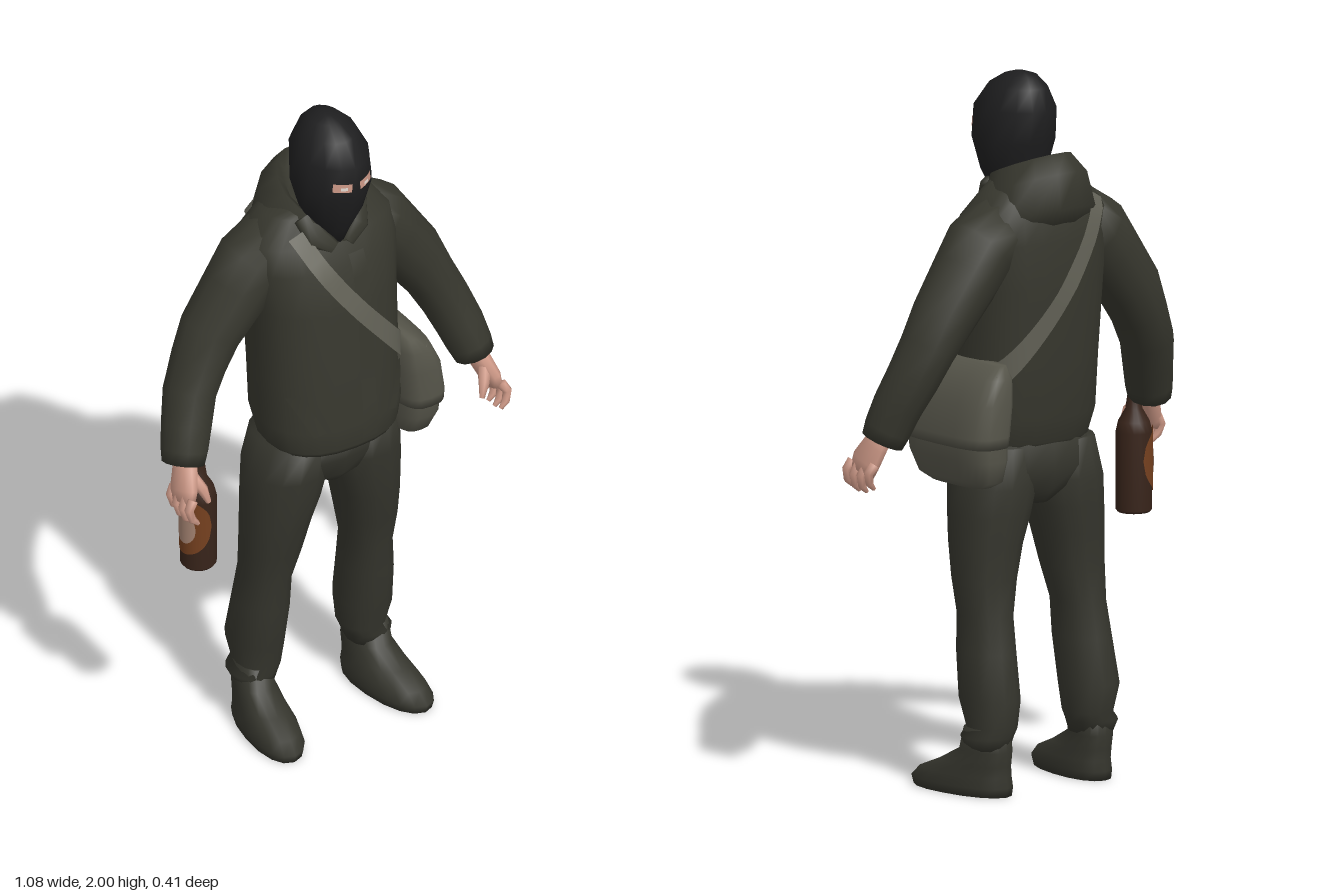
import * as THREE from 'three';

const DS = THREE.DoubleSide;
const mat = (name, color, side = THREE.FrontSide) => {
  const m = new THREE.MeshStandardMaterial({ color, side });
  m.name = name;
  return m;
};
const V = (x, y, z) => new THREE.Vector3(x, y, z);

// Surface through rings of { c, a, b, n, tilt }; a and b are the half axes, a x b points backwards
function loft(rings, seg = 16) {
  const pos = [], idx = [];
  const pw = (v, n) => Math.sign(v) * Math.abs(v) ** (2 / n);
  for (const r of rings) {
    for (let j = 0; j < seg; j++) {
      const t = (j / seg) * Math.PI * 2;
      const p = r.c.clone().addScaledVector(r.a, pw(Math.cos(t), r.n)).addScaledVector(r.b, pw(Math.sin(t), r.n));
      if (r.tilt) p.y -= r.tilt * (p.z - r.c.z);
      if (r.splay) p.x += r.splay * (p.z - r.c.z);
      pos.push(p.x, p.y, p.z);
    }
  }
  const last = (rings.length - 1) * seg;
  for (let i = 0; i < rings.length - 1; i++) {
    for (let j = 0; j < seg; j++) {
      const a = i * seg + j, b = i * seg + (j + 1) % seg;
      idx.push(a, a + seg, b, b, a + seg, b + seg);
    }
  }
  // end caps
  const n = pos.length / 3;
  pos.push(...rings[0].c.toArray(), ...rings[rings.length - 1].c.toArray());
  for (let j = 0; j < seg; j++) {
    const k = (j + 1) % seg;
    idx.push(n, j, k, n + 1, last + k, last + j);
  }
  return build(pos, idx);
}

function build(pos, idx) {
  const g = new THREE.BufferGeometry();
  g.setAttribute('position', new THREE.Float32BufferAttribute(pos, 3));
  g.setIndex(idx);
  g.computeVertexNormals();
  return g;
}

// Level rings listed upwards: [x, y, z, rx, rz, tilt]
const stack = (rows, n = 2, s = 1, seg = 16, splay = 0) => loft(rows.map(([x, y, z, rx, rz, tilt]) =>
  ({ c: V(x * s, y, z), a: V(rx, 0, 0), b: V(0, 0, rz), n, tilt, splay: splay * s })), seg);

// Rings square to a path: [x, y, z, ra, rb]
function limb(rows, s = 1, seg = 12) {
  const pts = rows.map(r => V(r[0] * s, r[1], r[2]));
  return loft(rows.map((r, i) => {
    const t = pts[Math.min(i + 1, pts.length - 1)].clone().sub(pts[Math.max(i - 1, 0)]).normalize();
    const b = V(0, 0, 1).addScaledVector(t, -t.z).normalize();
    const a = t.clone().cross(b);
    return { c: pts[i], a: a.multiplyScalar(r[3]), b: b.multiplyScalar(r[4]), n: 2 };
  }), seg);
}

// Depth of a stack's surface at x, y on its front (1) or back (-1)
function depthAt(rows, n, x, y, side) {
  let i = 0;
  while (i < rows.length - 2 && rows[i + 1][1] < y) i++;
  const f = THREE.MathUtils.clamp((y - rows[i][1]) / (rows[i + 1][1] - rows[i][1]), 0, 1);
  const [, , cz, rx, rz] = rows[i].map((v, k) => THREE.MathUtils.lerp(v, rows[i + 1][k], f));
  return cz + side * rz * Math.max(0, 1 - Math.min(1, Math.abs(x) / rx) ** n) ** (1 / n);
}

// Thin band laid on a stack along x, y points
function band(rows, n, pts, width, side, lift, steps = 16) {
  const path = new THREE.CatmullRomCurve3(pts.map(p => V(p[0], p[1], 0)));
  const pos = [], idx = [];
  for (let i = 0; i <= steps; i++) {
    const p = path.getPoint(i / steps), t = path.getTangent(i / steps);
    for (const k of [-1, 0, 1]) {
      const x = p.x - t.y * k * width / 2, y = p.y + t.x * k * width / 2;
      pos.push(x, y, depthAt(rows, n, x, y, side) + side * lift);
    }
    if (i < steps) for (const a of [i * 3, i * 3 + 1]) {
      idx.push(...(side > 0 ? [a, a + 3, a + 1, a + 1, a + 3, a + 4] : [a, a + 1, a + 3, a + 1, a + 4, a + 3]));
    }
  }
  return build(pos, idx);
}

// Oval sticker wrapped on an upright cylinder, facing -x
function wrapOval(r, y, h, spread, turn) {
  const pos = [], idx = [], N = 24;
  for (let i = 0; i <= N; i++) {
    const u = i / N * 2 - 1, t = u * spread + turn, k = h * Math.sqrt(1 - u * u);
    pos.push(-r * Math.cos(t), y - k, r * Math.sin(t), -r * Math.cos(t), y + k, r * Math.sin(t));
    if (i < N) idx.push(2 * i, 2 * i + 2, 2 * i + 1, 2 * i + 1, 2 * i + 2, 2 * i + 3);
  }
  return build(pos, idx);
}

export function createModel() {
  const root = new THREE.Group();
  const jacket = mat('jacketCloth', 0x37372e, DS), trousers = mat('trouserCloth', 0x35352d);
  const knit = mat('maskKnit', 0x1e1e1f), skin = mat('skin', 0xcf9a88, DS), white = mat('eyeWhite', 0xe6dcd4, DS);
  const canvas = mat('bagCanvas', 0x56554a), webbing = mat('strapWebbing', 0x636257, DS);
  const glass = mat('bottleGlass', 0x38241a), label = mat('labelBrown', 0x75401f, DS), paper = mat('labelPaper', 0xa88674, DS);
  const add = (name, geo, m, parent = root) => {
    const mesh = new THREE.Mesh(geo, m);
    mesh.name = name;
    parent.add(mesh);
    return mesh;
  };

  // Masked head
  const head = [[0, 1.61, .06, .03, .04], [0, 1.66, .045, .06, .075], [0, 1.72, .05, .09, .1], [0, 1.81, .05, .115, .125],
    [0, 1.9, .043, .106, .133], [0, 1.96, .032, .078, .095], [0, 1.99, .02, .045, .055], [0, 2, .02, .015, .02]];
  add('maskedHead', stack(head, 1.85), knit);
  for (const s of [-1, 1]) {
    add('eyeOpening', band(head, 1.85, [[s * .013, 1.842], [s * .062, 1.846]], .027, 1, .005, 6), skin);
    add('eye', band(head, 1.85, [[s * .027, 1.843], [s * .045, 1.843]], .01, 1, .008, 4), white);
  }

  // Jacket body
  const torso = [[0, .965, .03, .19, .15], [0, .98, .03, .2, .158], [0, 1.05, .022, .214, .172], [0, 1.2, .008, .212, .172],
    [0, 1.42, -.008, .218, .172], [0, 1.55, -.02, .232, .156], [0, 1.62, -.035, .228, .13], [0, 1.69, -.04, .16, .1], [0, 1.72, -.03, .1, .09]];
  add('jacketBody', stack(torso, 2.4, 1, 24), jacket);
  add('placket', band(torso, 2.4, [[.035, 1.58], [.035, 1.3], [.035, 1]], .05, 1, .007), jacket);
  for (const s of [-1, 1]) {
    add('pocketFlap', band(torso, 2.4, [[s * .175, 1.17], [s * .12, 1.05]], .035, 1, .007, 6), jacket);
  }

  // Lowered hood and collar
  add('hood', stack([[0, 1.56, -.03, .165, .13, .2], [0, 1.6, -.04, .178, .165, .3], [0, 1.69, -.045, .15, .14, .4],
    [0, 1.745, -.02, .105, .125, .4], [0, 1.735, -.01, .092, .105, .4], [0, 1.67, 0, .075, .08, .3]], 2, 1, 14), jacket);
  for (const s of [-1, 1]) {
    add('collarTip', limb([[.09, 1.7, .05, .03, .014], [.07, 1.645, .09, .034, .012], [.025, 1.605, .105, .02, .008]], s, 8), jacket);
  }

  // Arms, hands, legs and boots
  for (const s of [-1, 1]) {
    const side = s > 0 ? 'left' : 'right';
    add(side + 'Sleeve', limb([[.12, 1.59, -.045, .1, .1], [.2, 1.535, -.045, .108, .105], [.25, 1.47, -.045, .1, .1],
      [.335, 1.36, -.045, .09, .092], [.38, 1.28, -.035, .077, .088], [.42, 1.2, -.02, .073, .082], [.45, 1.12, .01, .07, .074],
      [.47, 1.055, .03, .064, .072], [.48, 1.02, .04, .058, .066]], s), jacket);

    const hand = new THREE.Group();
    hand.name = side + 'Hand';
    root.add(hand);
    add('palm', limb([[.475, 1.05, .04, .03, .036], [.488, 1.005, .06, .03, .045], [.505, .96, .08, .026, .055], [.512, .93, .088, .018, .05]], s, 10), skin, hand);
    for (let i = 0; i < 4; i++) {
      const z = .04 + i * .031, drop = [.012, 0, 0, .01][i];
      add('finger', limb([[.51, .955, z, .015, .015], [.526, .92 + drop, z + .005, .014, .014],
        [.518, .89 + drop, z + .01, .012, .012], [.5, .872 + drop, z + .012, .006, .006]], s, 6), skin, hand);
    }
    add('thumb', limb([[.485, 1, .085, .02, .02], [.465, .965, .115, .016, .016], [.452, .925, .125, .008, .008]], s, 6), skin, hand);

    add(side + 'TrouserLeg', stack([[.185, .13, -.06, .055, .066], [.188, .165, -.06, .07, .075], [.172, .19, -.062, .064, .076],
      [.178, .27, -.06, .077, .092], [.172, .4, -.038, .074, .09], [.167, .5, -.027, .068, .086], [.158, .6, -.012, .085, .094],
      [.147, .7, -.005, .094, .11], [.132, .78, -.002, .108, .12], [.12, .86, 0, .116, .128], [.11, .97, .01, .1, .125]], 2.2, s, 14), trousers);
    add(side + 'Boot', stack([[.197, 0, .033, .07, .165], [.197, .025, .035, .075, .17], [.195, .055, .022, .07, .152], [.192, .085, -.015, .063, .115],
      [.188, .125, -.055, .057, .078], [.186, .19, -.06, .054, .066]], 2.2, s, 16, .12), trousers);
  }
  add('trouserSeat', stack([[0, .8, 0, .04, .08], [0, .84, 0, .11, .115], [0, .9, 0, .2, .13], [0, .99, .01, .19, .135]], 2.4), trousers);

  // Shoulder bag with flap and strap
  const bag = new THREE.Group();
  bag.name = 'shoulderBag';
  root.add(bag);
  add('bagBody', stack([[.245, .88, -.02, .035, .11], [.248, .9, -.02, .055, .15], [.25, .96, -.012, .068, .172], [.252, 1.03, -.01, .07, .176],
    [.24, 1.12, -.008, .068, .176], [.225, 1.2, -.005, .045, .17]], 3.2, 1, 24), canvas, bag);
  add('bagFlap', stack([[.256, 1.0, -.01, .074, .182], [.255, 1.03, -.01, .078, .184], [.242, 1.12, -.008, .076, .184],
    [.225, 1.19, -.005, .058, .178], [.21, 1.225, -.005, .025, .155]], 3.2, 1, 24), canvas, bag);
  add('strapFront', band(torso, 2.4, [[-.125, 1.66], [-.08, 1.56], [0, 1.44], [.1, 1.315], [.195, 1.2]], .052, 1, .014), webbing, bag);
  add('strapBack', band(torso, 2.4, [[-.14, 1.66], [-.08, 1.55], [.02, 1.4], [.12, 1.27], [.195, 1.17]], .052, -1, .014), webbing, bag);

  // Bottle in the right hand
  const bottle = new THREE.Group();
  bottle.name = 'bottle';
  bottle.position.set(-.45, .69, .07);
  root.add(bottle);
  const profile = [[0, 0], [.045, 0], [.051, .008], [.051, .225], [.044, .255], [.024, .29], [.018, .33], [.017, .37], [.021, .372], [.021, .388], [0, .388]];
  add('bottleGlass', new THREE.LatheGeometry(profile.map(p => new THREE.Vector2(...p)), 18), glass, bottle);
  add('bottleLabel', wrapOval(.053, .148, .095, 1.75, 0), label, bottle);
  add('labelPatch', wrapOval(.055, .14, .05, .75, .1), paper, bottle);

  return root;
}
